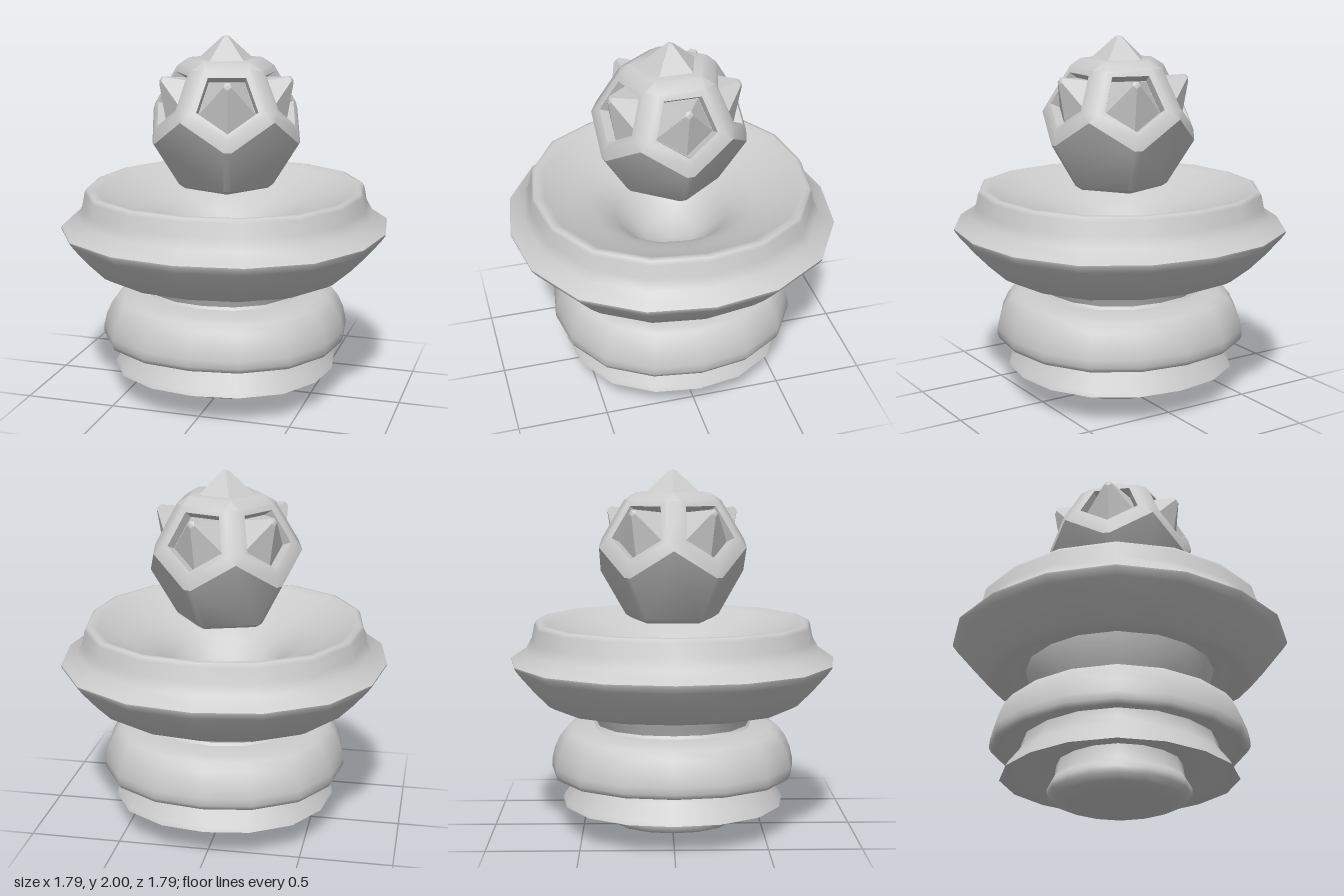
import * as THREE from 'three';
import { toCreasedNormals } from 'three/addons/utils/BufferGeometryUtils.js';
import { ConvexGeometry } from 'three/addons/geometries/ConvexGeometry.js';

const smooth = new THREE.MeshStandardMaterial({ color: 0xcccccc, side: THREE.DoubleSide });
const faceted = new THREE.MeshStandardMaterial({ color: 0xcccccc, flatShading: true, side: THREE.DoubleSide });

const INRADIUS = 0.35;    // centre of the gem to each of its twelve faces
const RIM = 0.21;         // radius of the upper faces, inside the bevel
const HOLE = 0.17;        // radius of the pentagonal openings

function mesh(name, geometry, material) {
  const m = new THREE.Mesh(geometry, material);
  m.name = name;
  return m;
}

// sixteen-sided turned part, slightly fuller on the diagonals; profile from bottom to top
function turned(name, profile) {
  const geo = new THREE.LatheGeometry(profile.map(([r, y]) => new THREE.Vector2(r, y)), 16);
  const pos = geo.getAttribute('position');
  for (let i = 0; i < pos.count; i++) {
    const x = pos.getX(i), z = pos.getZ(i);
    const f = 1 + 0.0175 * (1 - Math.cos(4 * Math.atan2(x, z)));
    pos.setXYZ(i, x * f, pos.getY(i), z * f);
  }
  return mesh(name, toCreasedNormals(geo, 1.05), smooth);
}

// five corners of a pentagon at distance d along a face direction, raised by lift
function pentagon(n, d, radius, lift = 0) {
  const ref = n.y > 0.99 ? new THREE.Vector3(1, 0, 0) : new THREE.Vector3(0, 1, 0);
  const u = ref.addScaledVector(n, -ref.dot(n)).normalize();
  const v = new THREE.Vector3().crossVectors(n, u);
  return Array.from({ length: 5 }, (_, i) => {
    const a = Math.PI + i * Math.PI * 2 / 5;
    return n.clone().multiplyScalar(d)
      .addScaledVector(u, radius * Math.cos(a) + lift)
      .addScaledVector(v, radius * Math.sin(a));
  });
}

// triangles of the strips joining successive pentagons
function strips(loops) {
  const pts = [];
  for (let k = 0; k < loops.length - 1; k++) {
    const p = loops[k], q = loops[k + 1];
    for (let i = 0; i < 5; i++) {
      const j = (i + 1) % 5;
      pts.push(p[i], p[j], q[j], p[i], q[j], q[i]);
    }
  }
  return pts;
}

function fromTriangles(pts) {
  const geo = new THREE.BufferGeometry().setFromPoints(pts);
  geo.computeVertexNormals();
  return geo;
}

// bevelled dodecahedron whose upper side faces are pentagonal frames
function gemShell(top, sides) {
  const corners = [];
  for (const n of [top, ...sides]) {
    corners.push(...pentagon(n, INRADIUS, RIM));
    corners.push(...pentagon(n, INRADIUS, 0.238).map((p) => p.negate()));
  }
  const pos = new ConvexGeometry(corners).getAttribute('position');
  const pts = [];
  for (let i = 0; i < pos.count; i += 3) {
    const tri = [0, 1, 2].map((k) => new THREE.Vector3().fromBufferAttribute(pos, i + k));
    const isOpen = sides.some((n) => tri.every((p) => Math.abs(p.dot(n) - INRADIUS) < 1e-3));
    if (!isOpen) pts.push(...tri);
  }
  for (const n of sides) {
    pts.push(...strips([pentagon(n, INRADIUS, RIM), pentagon(n, INRADIUS, HOLE)]));
  }
  return toCreasedNormals(fromTriangles(pts), 0.6);
}

export function createModel() {
  const model = new THREE.Group();
  model.name = 'pedestalBowlWithGem';

  // turned pedestal, each tier hollowed underneath around the one below
  model.add(
    turned('foot', [[0, 0.005], [0.14, 0.01], [0.26, 0.025], [0.34, 0.05], [0.37, 0.08],
      [0.372, 0.115], [0.355, 0.145], [0.335, 0.175], [0.325, 0.25]]),
    turned('skirt', [[0.32, 0.25], [0.42, 0.235], [0.52, 0.2], [0.61, 0.165], [0.617, 0.167],
      [0.605, 0.19], [0.54, 0.275], [0.515, 0.325], [0.51, 0.37]]),
    turned('cushion', [[0.5, 0.37], [0.58, 0.355], [0.645, 0.322], [0.665, 0.325], [0.677, 0.35],
      [0.675, 0.39], [0.66, 0.455], [0.63, 0.52], [0.595, 0.565], [0.55, 0.583], [0.43, 0.59]]),
    turned('neck', [[0.44, 0.585], [0.425, 0.605], [0.445, 0.65], [0.48, 0.72], [0.5, 0.8]]),
    // underside, outside, over the rim, and down the funnel in the middle
    turned('bowl', [[0.49, 0.8], [0.57, 0.775], [0.655, 0.718], [0.675, 0.717], [0.71, 0.737],
      [0.79, 0.82], [0.87, 0.915], [0.895, 0.95], [0.897, 0.96], [0.88, 0.973], [0.81, 1.02],
      [0.78, 1.075], [0.765, 1.15], [0.755, 1.17], [0.735, 1.174], [0.7, 1.155], [0.56, 1.095],
      [0.46, 1.055], [0.38, 1.015], [0.3, 0.95], [0.23, 0.87], [0.14, 0.8], [0, 0.77]])
  );

  // faceted gem floating above the bowl
  const gem = new THREE.Group();
  gem.name = 'gem';
  gem.position.y = 1.525;
  model.add(gem);

  const top = new THREE.Vector3(0, 1, 0);
  const sides = Array.from({ length: 5 }, (_, k) => {
    const a = k * Math.PI * 2 / 5;
    return new THREE.Vector3(2 * Math.cos(a), 1, 2 * Math.sin(a)).normalize();
  });
  gem.add(mesh('gemShell', gemShell(top, sides), smooth));

  // recessed openings, each holding a blunt spike that leans upward
  for (const n of sides) {
    gem.add(mesh('opening', fromTriangles(strips([
      pentagon(n, INRADIUS, HOLE), pentagon(n, 0.295, HOLE - 0.01), pentagon(n, 0.295, 0)
    ])), faceted));
    gem.add(mesh('sideSpike', fromTriangles(strips([
      pentagon(n, 0.295, 0.158), pentagon(n, 0.44, 0.022, 0.06), pentagon(n, 0.446, 0, 0.062)
    ])), faceted));
  }

  // crowning spike
  gem.add(mesh('topSpike', fromTriangles(strips([
    pentagon(top, 0.34, 0.165), pentagon(top, 0.468, 0.02), pentagon(top, 0.475, 0)
  ])), faceted));

  return model;
}
